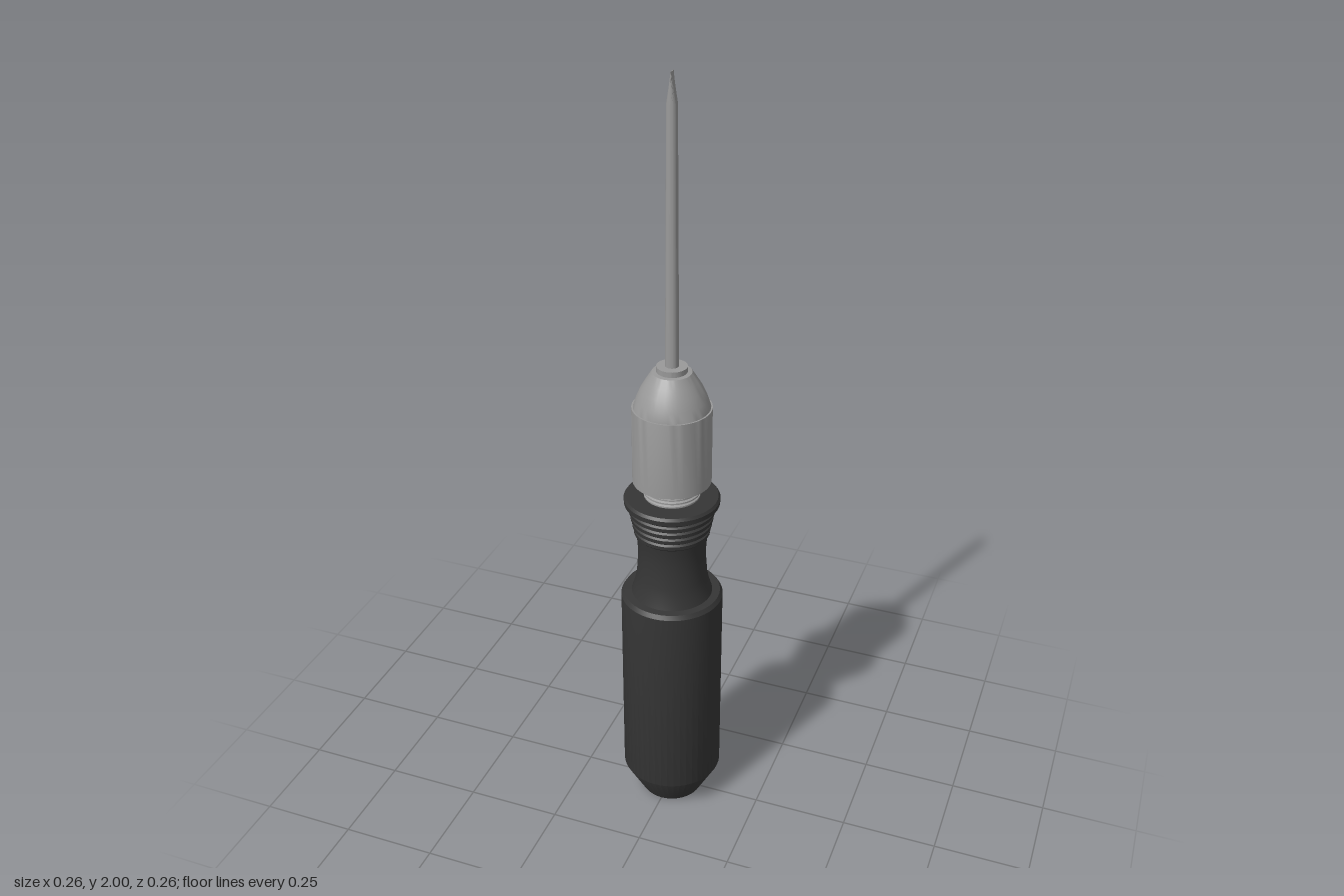
import * as THREE from 'three';
import { toCreasedNormals } from 'three/addons/utils/BufferGeometryUtils.js';

const rubber = new THREE.MeshStandardMaterial({ color: 0x363636 });
rubber.name = 'black rubber';
const steel = new THREE.MeshStandardMaterial({ color: 0x999999 });
steel.name = 'grey steel';

// Turned part from [radius, height] pairs, bottom to top
function turned(name, profile, material, sides = 48) {
  const points = profile.map(([r, y]) => new THREE.Vector2(r, y));
  const geometry = toCreasedNormals(new THREE.LatheGeometry(points, sides), 0.5);
  const mesh = new THREE.Mesh(geometry, material);
  mesh.name = name;
  return mesh;
}

export function createModel() {
  const group = new THREE.Group();
  group.name = 'screwdriver';

  // Grip with bevelled butt
  group.add(turned('grip', [
    [0, 0], [0.083, 0], [0.132, 0.09], [0.132, 0.645], [0.125, 0.656], [0.09, 0.656],
  ], rubber));

  // Waisted neck, grip ribs and flange
  const neck = [
    [0.105, 0.655], [0.097, 0.68], [0.091, 0.71], [0.088, 0.75], [0.087, 0.78],
    [0.089, 0.81], [0.092, 0.83],
  ];
  for (let i = 0; i < 4; i++) {
    const y = 0.832 + i * 0.02, r = 0.097 + i * 0.004;
    neck.push([r, y + 0.003], [r + 0.001, y + 0.013], [r - 0.004, y + 0.017]);
  }
  neck.push([0.112, 0.917], [0.121, 0.921], [0.122, 0.934], [0.117, 0.941], [0, 0.941]);
  group.add(turned('neck', neck, rubber));

  // Threaded stud between handle and chuck
  const thread = [[0.065, 0.935]];
  for (let i = 0; i < 5; i++) {
    const y = 0.942 + i * 0.01;
    thread.push([0.071, y], [0.071, y + 0.004], [0.065, y + 0.007]);
  }
  thread.push([0.065, 1.0]);
  group.add(turned('thread', thread, steel));

  // Chuck sleeve with rounded nose and end ring
  group.add(turned('chuck', [
    [0.06, 0.985], [0.099, 0.985], [0.099, 1.19], [0.095, 1.19], [0.087, 1.215],
    [0.076, 1.24], [0.063, 1.262], [0.049, 1.284], [0.038, 1.285], [0.038, 1.299], [0, 1.299],
  ], steel));

  // Slightly tapered shaft, flattened to a chisel blade at the tip
  const bladeStart = 1.93, tip = 2;
  const shaft = new THREE.LatheGeometry([
    [0.017, 1.29], [0.013, bladeStart], [0.01, tip], [0, tip],
  ].map(([r, y]) => new THREE.Vector2(r, y)), 24);
  const p = shaft.attributes.position;
  for (let i = 0; i < p.count; i++) {
    if (p.getY(i) > bladeStart + 0.01) p.setX(i, p.getX(i) * 0.1);
  }
  const shaftMesh = new THREE.Mesh(toCreasedNormals(shaft, 0.5), steel);
  shaftMesh.name = 'shaft';
  group.add(shaftMesh);

  return group;
}
